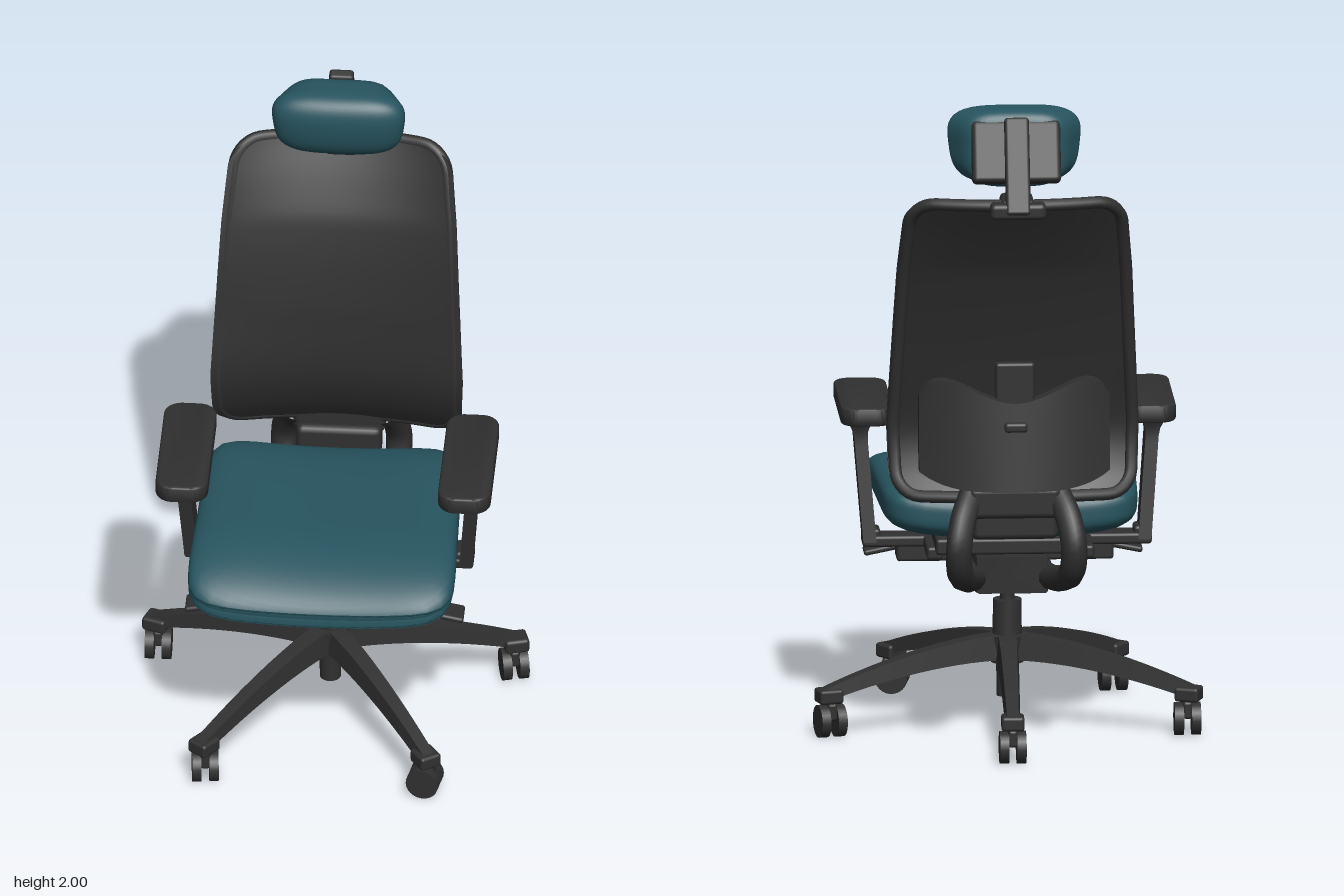
import * as THREE from 'three';
import { mergeVertices, toCreasedNormals } from 'three/addons/utils/BufferGeometryUtils.js';
import { RoundedBoxGeometry } from 'three/addons/geometries/RoundedBoxGeometry.js';

const mat = (name, color) => {
  const m = new THREE.MeshStandardMaterial({ color });
  m.name = name;
  return m;
};
const V = (x, y, z) => new THREE.Vector3(x, y, z);

// piecewise-linear lookup in a short list of [key, value] pairs
function lookup(table, k) {
  for (let i = 1; i < table.length; i++) {
    const [a, va] = table[i - 1], [b, vb] = table[i];
    if (k <= b) return va + (vb - va) * Math.max(0, (k - a) / (b - a));
  }
  return table[table.length - 1][1];
}

// move every vertex by a rule, then refresh normals
function mapped(geo, rule) {
  const p = geo.attributes.position;
  for (let i = 0; i < p.count; i++) {
    const [x, y, z] = rule(p.getX(i), p.getY(i), p.getZ(i));
    p.setXYZ(i, x, y, z);
  }
  geo.computeVertexNormals();
  return geo;
}

// unit cushion (-1..1): n squares the plan, m squares the height
function cushion(n, m, rule) {
  let g = new THREE.SphereGeometry(1, 72, 40);
  g.deleteAttribute('uv');
  g.deleteAttribute('normal');
  g = mergeVertices(g, 1e-5);
  return mapped(g, (x, y, z) => {
    const plan = (Math.abs(x) ** n + Math.abs(z) ** n) ** (m / n);
    const r = (plan + Math.abs(y) ** m) ** (-1 / m);
    return rule(x * r, y * r, z * r);
  });
}

// backrest outline and curvature
const Y0 = 0.79, Y1 = 1.725, R = 0.07;
function backHalf(y) {
  const base = lookup([[0.78, 0.368], [1.0, 0.376], [1.5, 0.35], [1.73, 0.328]], y);
  const d = Math.min(R, Math.max(0, Math.min(y - Y0, Y1 - y)));
  return base - R + Math.sqrt(R * R - (R - d) ** 2);
}
const edgeCurve = new THREE.CatmullRomCurve3([[0.78, -0.3], [0.87, -0.255], [0.98, -0.232],
  [1.2, -0.265], [1.4, -0.305], [1.6, -0.36], [1.73, -0.405]].map(([y, z]) => V(0, y, z)));
const edgeTable = edgeCurve.getPoints(40).map(p => [p.y, p.z]);
function backZ(x, y) {
  const bow = lookup([[0.78, 0.05], [1.2, 0.03], [1.5, 0.035], [1.73, 0.075]], y);
  return lookup(edgeTable, y) - bow * (1 - (x / 0.36) ** 2);
}

export function createModel() {
  const root = new THREE.Group();
  root.name = 'officeChair';
  const teal = mat('teal upholstery', 0x27545f);
  const black = mat('black plastic', 0x303030);
  const mesh = mat('dark mesh fabric', 0x2c2c2c);
  const chair = new THREE.Group();
  chair.name = 'chair';
  chair.position.x = -0.018;
  root.add(chair);

  const add = (name, geo, material, pos = [0, 0, 0], parent = chair) => {
    const m = new THREE.Mesh(geo, material);
    m.name = name;
    m.position.set(...pos);
    parent.add(m);
    return m;
  };
  const block = (name, w, h, d, pos, parent = chair, r = 0.01) =>
    add(name, new RoundedBoxGeometry(w, h, d, 2, r), black, pos, parent);
  const post = (name, r0, r1, y0, y1) =>
    add(name, new THREE.CylinderGeometry(r1, r0, y1 - y0, 28), black, [0, (y0 + y1) / 2, 0.05]);
  const tube = (name, pts, r, closed = false, n = 40, material = black) =>
    add(name, new THREE.TubeGeometry(new THREE.CatmullRomCurve3(pts, closed), n, r, 10, closed), material);

  // gas column
  post('columnFoot', 0.032, 0.034, 0.09, 0.22);
  post('hub', 0.05, 0.06, 0.195, 0.28);
  post('columnSleeve', 0.045, 0.043, 0.27, 0.39);
  post('piston', 0.022, 0.022, 0.38, 0.48);

  // five-star base with twin-wheel casters
  const yaws = [0, 0.25, 1.4, 0.1, 0];
  yaws.forEach((yaw, i) => {
    const angle = 0.03 + i * Math.PI * 0.4;
    const leg = new THREE.Group();
    leg.name = 'baseLeg';
    leg.position.z = 0.05;
    leg.rotation.y = -angle;
    chair.add(leg);
    add('legBeam', mapped(new THREE.BoxGeometry(1, 1, 1, 1, 1, 14), (x, y, z) => {
      const t = 0.5 - z;
      const top = 0.285 - 0.135 * t ** 1.7, thick = 0.08 - 0.042 * t;
      return [x * (0.07 - 0.025 * t) * (y > 0 ? 0.8 : 1), top + (y - 0.5) * thick, -0.6 * t];
    }), black, [0, 0, 0], leg);
    block('legCap', 0.07, 0.045, 0.075, [0, 0.13, -0.575], leg);
    const caster = new THREE.Group();
    caster.name = 'caster';
    caster.position.set(0, 0.052, -0.57);
    caster.rotation.y = angle + yaw;
    leg.add(caster);
    for (const s of [-1, 1]) {
      const wheel = add('wheel', new THREE.CylinderGeometry(0.05, 0.05, 0.028, 24), black, [s * 0.026, 0, 0], caster);
      wheel.rotation.z = Math.PI / 2;
    }
    block('casterFork', 0.03, 0.055, 0.06, [0, 0.03, 0], caster);
  });

  // tilt mechanism under the seat
  const side = new THREE.Shape([[0.36, 0.565], [0.36, 0.5], [0.28, 0.46], [-0.08, 0.45], [-0.2, 0.47], [-0.2, 0.565]]
    .map(([z, y]) => new THREE.Vector2(-z, y)));
  const body = new THREE.ExtrudeGeometry(side, { depth: 0.2, bevelSize: 0.01, bevelThickness: 0.01, bevelSegments: 2 });
  add('mechanism', toCreasedNormals(body.translate(0, 0, -0.1).rotateY(Math.PI / 2), 0.6), black);
  block('crossBody', 0.66, 0.06, 0.1, [0, 0.515, 0.2]);
  block('seatPan', 0.46, 0.05, 0.5, [0, 0.6, 0.07]);
  for (const s of [-1, 1]) {
    block('seatRail', 0.05, 0.04, 0.42, [s * 0.23, 0.57, 0.08]);
    const lever = block('lever', 0.13, 0.018, 0.08, [s * 0.36, 0.505, 0.28], chair, 0.008);
    lever.rotation.z = -s * 0.2;
    tube('leverRod', [V(s * 0.08, 0.52, 0.28), V(s * 0.2, 0.52, 0.28), V(s * 0.33, 0.512, 0.28)], 0.012, false, 8);
  }

  // seat cushion with a dished top and a waterfall front
  add('seat', cushion(8, 3.6, (x, y, z) => {
    const front = Math.max(0, (z - 0.25) / 0.75);
    const h = 0.088 * y - (y > 0 ? 0.07 : 0.015) * front * front;
    return [x * (0.398 + 0.014 * z), 0.71 + h + 0.028 * (x * x - 0.5), 0.172 + 0.403 * z];
  }), teal);

  // armrests
  const padShape = new THREE.Shape();
  const a = 0.07, b = 0.223, c = 0.045;
  padShape.moveTo(-a + c, -b).lineTo(a - c, -b).absarc(a - c, -b + c, c, -Math.PI / 2, 0)
    .lineTo(a, b - c).absarc(a - c, b - c, c, 0, Math.PI / 2)
    .lineTo(-a + c, b).absarc(-a + c, b - c, c, Math.PI / 2, Math.PI)
    .lineTo(-a, -b + c).absarc(-a + c, -b + c, c, Math.PI, Math.PI * 1.5);
  const padGeo = toCreasedNormals(new THREE.ExtrudeGeometry(padShape,
    { depth: 0.035, bevelSize: 0.01, bevelThickness: 0.01, bevelSegments: 4, curveSegments: 10 }).rotateX(-Math.PI / 2), 0.7);
  for (const s of [-1, 1]) {
    add('armPad', padGeo, black, [s * 0.43, 0.96, 0.178]);
    add('armPost', mapped(new THREE.BoxGeometry(1, 1, 1, 1, 16, 1), (x, y, z) => {
      const v = y + 0.5, flare = Math.max(0, (v - 0.82) / 0.18) ** 2;
      return [s * (0.418 + 0.03 * v) + x * (0.04 + 0.06 * flare),
        0.57 + 0.385 * v, 0.085 + 0.055 * v + z * (0.1 + 0.01 * v + 0.06 * flare)];
    }), black);
    block('armBracket', 0.3, 0.035, 0.09, [s * 0.29, 0.572, 0.085]);
    block('armFoot', 0.05, 0.05, 0.08, [s * 0.41, 0.585, 0.085]);
  }

  // curved carriers from the mechanism up to the backrest
  for (const s of [-1, 1]) {
    tube('backCarrier', [[0.09, 0.5, 0.08], [0.1, 0.5, -0.1], [0.14, 0.525, -0.29], [0.17, 0.57, -0.405],
      [0.175, 0.65, -0.435], [0.16, 0.735, -0.4], [0.13, 0.8, -0.34]].map(([x, y, z]) => V(s * x, y, z)), 0.04);
  }
  block('carrierBridge', 0.26, 0.1, 0.07, [0, 0.71, -0.33], chair, 0.02);
  block('backMount', 0.28, 0.1, 0.07, [0, 0.78, -0.355], chair, 0.02);

  // backrest panel and rim
  add('backPanel', mapped(new THREE.BoxGeometry(2, 1, 1, 24, 48, 1), (x, y, z) => {
    const h = (Y0 + Y1) / 2 - Math.cos((y + 0.5) * Math.PI) * (Y1 - Y0) / 2;
    const px = x * (backHalf(h) + 0.008);
    return [px, h, backZ(px, h) + 0.012 + 0.012 * z];
  }), mesh);
  const rim = [];
  const rows = 32, cols = 10;
  const rowY = i => (Y0 + Y1) / 2 - Math.cos(Math.PI * i / rows) * (Y1 - Y0) / 2;
  const rimPoint = (x, y) => rim.push(V(x, y, backZ(x, y)));
  for (let i = 0; i <= rows; i++) rimPoint(backHalf(rowY(i)) - 0.012, rowY(i));
  for (let i = 1; i < cols; i++) rimPoint((backHalf(Y1) - 0.012) * (1 - 2 * i / cols), Y1);
  for (let i = rows; i >= 0; i--) rimPoint(-backHalf(rowY(i)) + 0.012, rowY(i));
  for (let i = 1; i < cols; i++) rimPoint((backHalf(Y0) - 0.012) * (2 * i / cols - 1), Y0);
  tube('backRim', rim, 0.019, true, 180);

  // lumbar support behind the panel
  add('lumbarSupport', mapped(new THREE.BoxGeometry(2, 1, 1, 24, 10, 1), (x, y, z) => {
    const e = Math.abs(x), v = y + 0.5;
    const top = 1.09 + 0.07 * Math.sin(Math.min(1, e / 0.85) * Math.PI / 2) ** 2 - 0.06 * e ** 10;
    const low = 0.82 + 0.05 * e ** 4;
    return [x * 0.29, low + (top - low) * v, -0.395 + 0.03 * v + 0.085 * e * e + z * 0.05];
  }), black);
  block('lumbarHandle', 0.12, 0.13, 0.035, [0, 1.145, -0.345]);
  block('lumbarKnob', 0.07, 0.03, 0.03, [0, 1.02, -0.405]);

  // headrest and its support
  add('headrest', cushion(4.5, 3.4, (x, y, z) => {
    const rear = Math.max(0, 0.3 - z) / 1.3;
    return [x * (0.2 + 0.014 * y) * (1 - 0.32 * rear), 1.883 + 0.117 * y,
      -0.322 + 0.088 * z + 0.018 * y - 0.02 * y * y - 0.012 * x * x];
  }), teal);
  const tilt = 0.36;
  block('headrestPlate', 0.27, 0.19, 0.06, [0, 1.875, -0.405], chair, 0.015).rotation.x = tilt;
  block('headrestBar', 0.075, 0.3, 0.035, [0, 1.845, -0.475]).rotation.x = tilt;
  block('headrestBracket', 0.17, 0.05, 0.07, [0, 1.715, -0.5], chair, 0.015);
  block('headrestClamp', 0.1, 0.05, 0.12, [0, 1.725, -0.45], chair, 0.015);

  return root;
}
